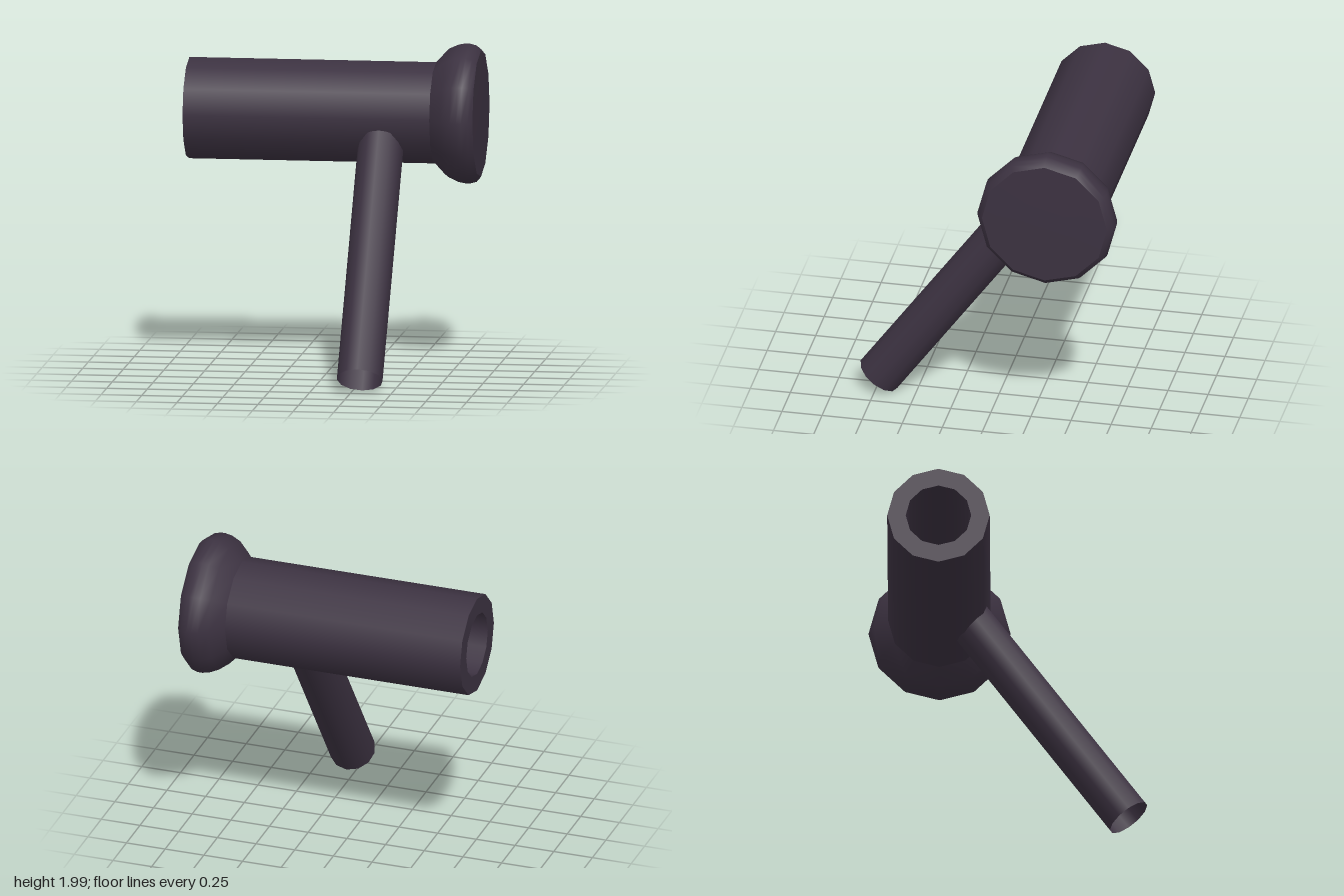
import * as THREE from 'three';

const SIDES = 12;

export function createModel() {
  const model = new THREE.Group();
  model.name = 'hammer';
  const dark = new THREE.MeshStandardMaterial({ color: 0x3c3241, side: THREE.DoubleSide });
  dark.name = 'dark plum';

  // Head parts turn about the x axis; each profile point is [radius, x]
  const head = new THREE.Group();
  head.name = 'head';
  head.position.set(0, 1.568, -0.418);
  head.rotation.z = -Math.PI / 2;
  model.add(head);
  const turned = (name, profile) => {
    const points = profile.map(([r, x]) => new THREE.Vector2(r, x));
    const mesh = new THREE.Mesh(new THREE.LatheGeometry(points, SIDES), dark);
    mesh.name = name;
    head.add(mesh);
  };

  // Hollow barrel, separate faces keep its rims sharp
  turned('boreFloor', [[0, 0.6], [0.2, 0.6]]);
  turned('boreWall', [[0.2, 0.6], [0.2, -0.9]]);
  turned('barrelRim', [[0.2, -0.9], [0.313, -0.9]]);
  turned('barrelWall', [[0.313, -0.9], [0.313, 0.62]]);

  // Flared, rounded striking end
  turned('flare', [
    [0.313, 0.62], [0.398, 0.7], [0.425, 0.76], [0.432, 0.8],
    [0.432, 0.83], [0.421, 0.87], [0.39, 0.896],
  ]);
  turned('strikingFace', [[0.39, 0.896], [0.15, 0.9], [0, 0.9]]);

  // Slanted open tube handle, running from its foot up into the barrel
  const foot = new THREE.Vector3(0.307, 0.092, 0.738);
  const direction = new THREE.Vector3(0, 0.807, -0.59).normalize();
  const length = 1.64;
  const handle = new THREE.Mesh(
    new THREE.CylinderGeometry(0.141, 0.141, length, SIDES, 1, true), dark);
  handle.name = 'handle';
  handle.position.copy(foot).addScaledVector(direction, length / 2);
  handle.quaternion.setFromUnitVectors(new THREE.Vector3(0, 1, 0), direction);
  model.add(handle);

  return model;
}
